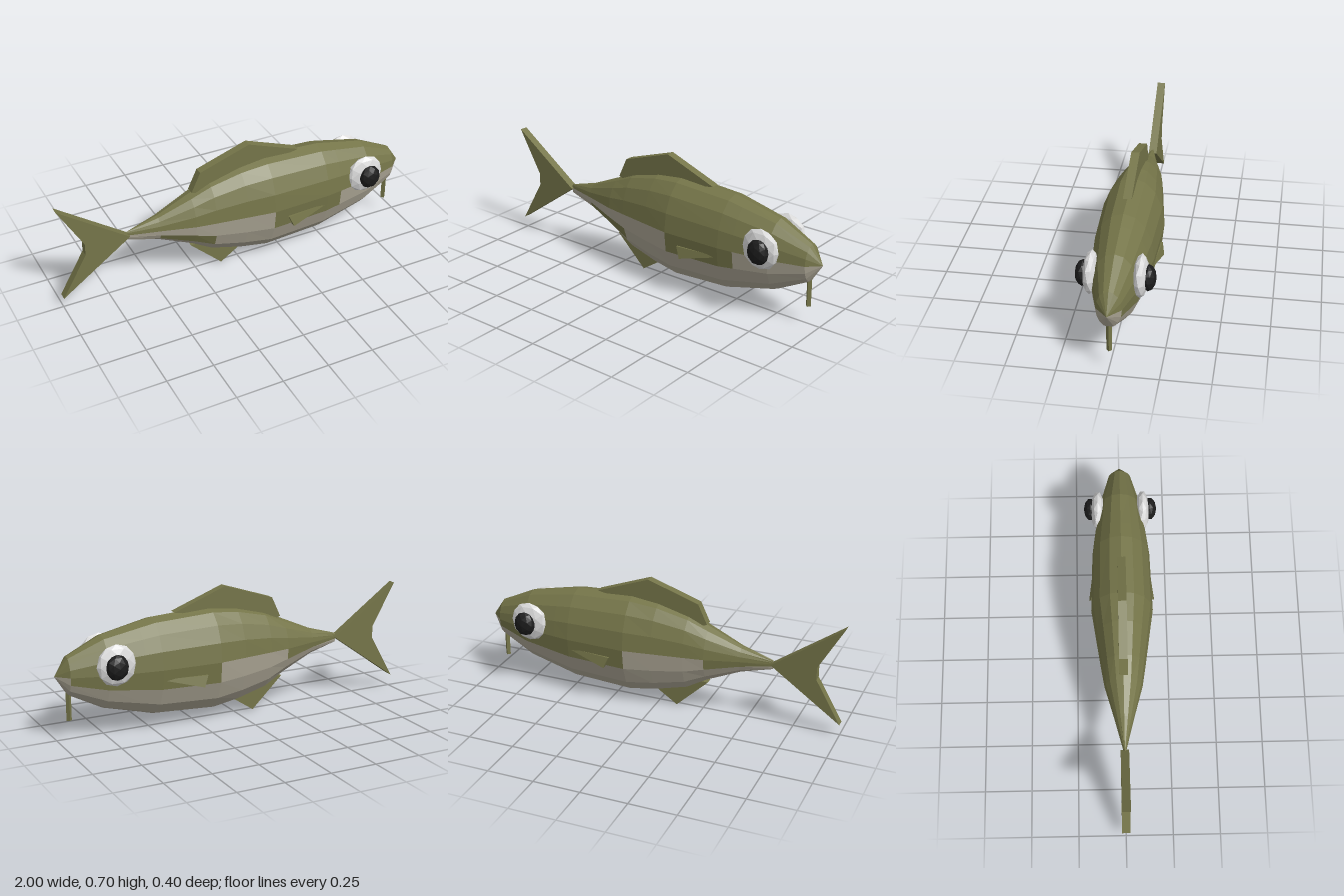
import * as THREE from 'three';

const mat = (name, color) => {
  const m = new THREE.MeshStandardMaterial({ color, flatShading: true });
  m.name = name;
  return m;
};

export function createModel() {
  const fish = new THREE.Group();
  fish.name = 'fish';
  const olive = mat('olive', 0x757549);
  const belly = mat('bellyGrey', 0xaaa493);
  const white = mat('eyeWhite', 0xdcdcdc);
  const black = mat('pupilBlack', 0x1c1c1c);

  const add = (name, geometry, material) => {
    const mesh = new THREE.Mesh(geometry, material);
    mesh.name = name;
    fish.add(mesh);
    return mesh;
  };

  // Body stations from tail to nose: x, top y, bottom y, half width
  const stations = [
    [-0.63, 0.36, 0.31, 0.006], [-0.46, 0.41, 0.265, 0.05], [-0.28, 0.49, 0.185, 0.1],
    [-0.17, 0.54, 0.118, 0.118], [0, 0.585, 0.072, 0.143], [0.15, 0.603, 0.048, 0.165],
    [0.475, 0.585, 0.067, 0.155], [0.56, 0.567, 0.09, 0.144], [0.75, 0.526, 0.14, 0.117],
    [0.935, 0.438, 0.237, 0.063], [1, 0.34, 0.34, 0],
  ];
  const sides = 16, midY = 0.34;
  const point = (i, j) => {
    const [x, top, bottom, w] = stations[i];
    const a = (j / sides) * Math.PI * 2, c = Math.cos(a);
    return [x, midY + c * (c > 0 ? top - midY : midY - bottom), w * Math.sin(a)];
  };

  // Olive back, grey belly, with olive patches on the flanks
  const isBelly = (x, j) => {
    if (j < 4 || j > 11) return false;
    if (j === 4) return x < 0.15 || x > 0.56;
    if (j === 11) return (x > -0.28 && x < 0.15) || x > 0.935;
    if (j === 5) return x < -0.46 || x > -0.17;
    return true;
  };
  const skin = { back: [], belly: [] };
  for (let i = 0; i < stations.length - 1; i++) {
    const midX = (stations[i][0] + stations[i + 1][0]) / 2;
    for (let j = 0; j < sides; j++) {
      const a = point(i, j), b = point(i, j + 1), c = point(i + 1, j + 1), d = point(i + 1, j);
      const target = isBelly(midX, j) ? skin.belly : skin.back;
      target.push(...a, ...b, ...c);
      if (i < stations.length - 2) target.push(...a, ...c, ...d);
    }
  }
  const shell = (name, positions, material) => {
    const g = new THREE.BufferGeometry();
    g.setAttribute('position', new THREE.Float32BufferAttribute(positions, 3));
    g.computeVertexNormals();
    add(name, g, material);
  };
  shell('back', skin.back, olive);
  shell('belly', skin.belly, belly);

  // Flat fins on the centre line
  const plate = (points, depth) => {
    const shape = new THREE.Shape(points.map(([x, y]) => new THREE.Vector2(x, y)));
    return new THREE.ExtrudeGeometry(shape, { depth, bevelEnabled: false }).translate(0, 0, -depth / 2);
  };
  const fin = (name, points) => add(name, plate(points, 0.044), olive);
  fin('tailFin', [[-0.62, 0.34], [-1, 0.61], [-0.865, 0.373], [-0.865, 0.305], [-1, 0.07]]);
  fin('dorsalFin', [[-0.27, 0.505], [-0.22, 0.612], [0.06, 0.705], [0.35, 0.596], [0.1, 0.55], [-0.2, 0.48]]);
  fin('bellyFin', [[-0.28, 0.17], [-0.105, 0.003], [0.01, 0.08], [-0.12, 0.18]]);

  // Chin barbel
  add('barbel', new THREE.CylinderGeometry(0.014, 0.014, 0.15, 4), olive).position.set(0.93, 0.176, 0);

  // Side fins and eyes, mirrored across the body
  for (const s of [1, -1]) {
    const side = s > 0 ? 'front' : 'back';
    const g = plate([[0.23, 0.285], [0.255, 0.225], [0.49, 0.29]], 0.03);
    const p = g.attributes.position;
    for (let k = 0; k < p.count; k++) {
      // flare outwards at the rear and the lower edge
      const flare = 0.163 - 0.085 * (p.getX(k) - 0.255) - 0.22 * (p.getY(k) - 0.225);
      p.setZ(k, p.getZ(k) + s * flare);
    }
    g.computeVertexNormals();
    add(side + 'PectoralFin', g, olive);

    const eye = add(side + 'Eye', new THREE.IcosahedronGeometry(1, 1), white);
    eye.scale.set(0.106, 0.109, 0.039);
    eye.position.set(0.715, 0.393, s * 0.122);
    const pupil = add(side + 'Pupil', new THREE.IcosahedronGeometry(1, 1), black);
    pupil.scale.set(0.06, 0.067, 0.038);
    pupil.position.set(0.725, 0.392, s * 0.16);
  }
  return fish;
}
